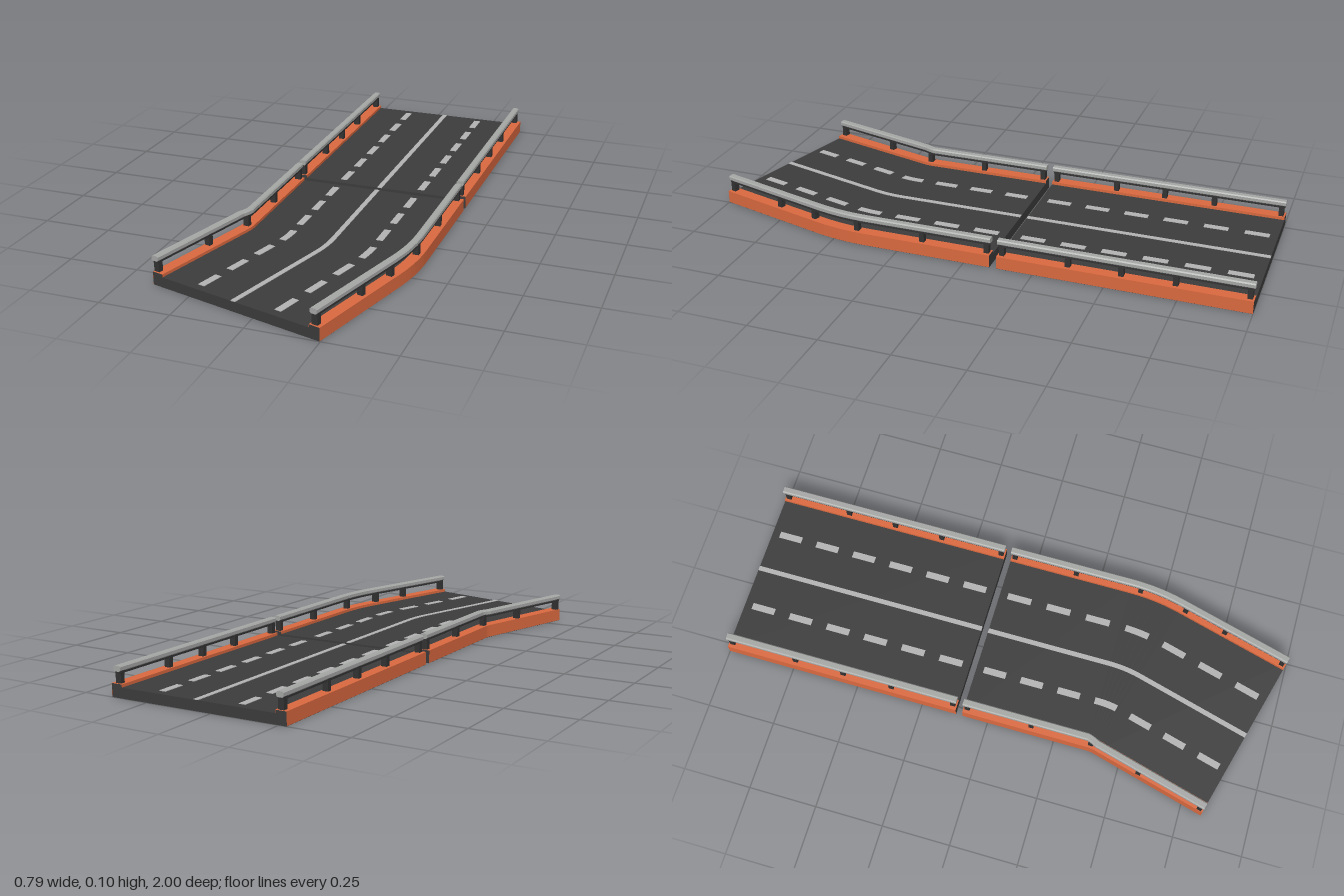
import * as THREE from 'three';

const CENTRE_X = 0.055, RADIUS = 0.465, HALF = 0.333, CURB_IN = 0.293, RAIL = 0.311;

const mat = (color, extra = {}) => new THREE.MeshStandardMaterial({ color, flatShading: true, ...extra });
const asphalt = mat(0x3c3c3c);
const darkMetal = mat(0x333333);
const orange = mat(0xdc6a40, { side: THREE.DoubleSide });
const railGrey = mat(0xa6a8a6);
const paint = mat(0xb4b4b4);

// road sections: a straight run, then an optional bend and straight tail
const straight = { z0: -1, run: 0.88, bend: 0, tail: 0,
  posts: { '-1': [0.015, 0.26, 0.445, 0.63, 0.865], 1: [0.015, 0.26, 0.445, 0.63, 0.865] }, dashes: 6 };
const curved = { z0: -0.095, run: 0.465, bend: Math.PI / 12, tail: 0.438,
  posts: { '-1': [0.015, 0.255, 0.48, 0.68, 0.928], 1: [0.015, 0.255, 0.505, 0.69, 0.855, 1.091] }, dashes: 7 };

const arcLength = (sec, o) => sec.bend * (RADIUS + o);
const lengthAt = (sec, o) => sec.run + arcLength(sec, o) + sec.tail;

// point and heading at distance s along a lane at lateral offset o
function at(sec, s, o, drift = 0) {
  const arc = arcLength(sec, o);
  const run = Math.min(s, sec.run);
  const a = arc ? THREE.MathUtils.clamp((s - sec.run) / arc, 0, 1) * sec.bend : 0;
  const tail = Math.max(0, s - sec.run - arc);
  const r = RADIUS + o + (sec.bend ? drift * a / sec.bend : 0);
  return {
    a,
    x: CENTRE_X - RADIUS + r * Math.cos(a) - tail * Math.sin(a),
    z: sec.z0 + run + r * Math.sin(a) + tail * Math.cos(a),
  };
}

// sweep a counter-clockwise profile of [lateral, y] along the lane
function sweep(sec, o, s0, s1, profile, { closed = true, drift = 0 } = {}) {
  const stops = [s0, s1];
  if (sec.bend) {
    for (let i = 0; i <= 6; i++) {
      const s = sec.run + arcLength(sec, o) * i / 6;
      if (s > s0 + 1e-4 && s < s1 - 1e-4) stops.push(s);
    }
  }
  stops.sort((p, q) => p - q);
  const pos = [], index = [], n = profile.length;
  for (const s of stops) {
    const p = at(sec, s, o, drift);
    for (const [w, y] of profile) pos.push(p.x + w * Math.cos(p.a), y, p.z + w * Math.sin(p.a));
  }
  for (let j = 0; j < stops.length - 1; j++) {
    for (let i = 0; i < (closed ? n : n - 1); i++) {
      const a = j * n + i, b = j * n + (i + 1) % n;
      index.push(a, b, a + n, b, b + n, a + n);
    }
  }
  if (closed) {
    const e = (stops.length - 1) * n;
    for (let i = 1; i < n - 1; i++) index.push(0, i + 1, i, e, e + i, e + i + 1);
  }
  const g = new THREE.BufferGeometry();
  g.setAttribute('position', new THREE.Float32BufferAttribute(pos, 3));
  g.setIndex(index);
  const flat = g.toNonIndexed();
  flat.computeVertexNormals();
  return flat;
}

const rect = (w0, w1, y0, y1) => [[w0, y0], [w1, y0], [w1, y1], [w0, y1]];
const mirror = (profile, side) => (side > 0 ? profile : profile.map(([w, y]) => [-w, y]).reverse());

function add(parent, name, geometry, material) {
  const mesh = new THREE.Mesh(geometry, material);
  mesh.name = name;
  parent.add(mesh);
  return mesh;
}

function buildSection(sec, name) {
  const group = new THREE.Group();
  group.name = name;
  const full = lengthAt(sec, 0);
  add(group, 'roadDeck', sweep(sec, 0, 0, full, rect(-HALF, HALF, 0, 0.036)), asphalt);

  // lane markings
  add(group, 'centreLine', sweep(sec, 0, 0, full, rect(-0.009, 0.009, 0.035, 0.038)), paint);
  for (const o of [-0.153, 0.153]) {
    const step = lengthAt(sec, o) / sec.dashes;
    for (let i = 0; i < sec.dashes; i++) {
      add(group, 'laneDash', sweep(sec, o, (i + 0.2) * step, (i + 0.8) * step, rect(-0.0125, 0.0125, 0.035, 0.038)), paint);
    }
  }

  for (const side of [-1, 1]) {
    const label = side > 0 ? 'left' : 'right';
    // curb: dark core with orange facing on its inner, top and outer sides
    add(group, label + 'CurbCore', sweep(sec, 0, 0, full, mirror(rect(CURB_IN + 0.001, HALF, 0.034, 0.0455), side)), asphalt);
    const skin = [[HALF + 0.001, 0.001], [HALF + 0.001, 0.0465], [CURB_IN, 0.0465], [CURB_IN, 0.036]];
    add(group, label + 'CurbFacing', sweep(sec, 0, 0, full, mirror(skin, side), { closed: false }), orange);

    // guard rail with chamfered top, under-beam and posts
    const o = side * RAIL;
    const drift = side < 0 ? -0.011 : 0;
    const len = lengthAt(sec, o);
    const railProfile = [[-0.009, 0.086], [0.009, 0.086], [0.013, 0.09], [0.013, 0.101],
      [0.009, 0.105], [-0.009, 0.105], [-0.013, 0.101], [-0.013, 0.09]];
    add(group, label + 'GuardRail', sweep(sec, o, 0, len, railProfile, { drift }), railGrey);
    add(group, label + 'RailBeam', sweep(sec, o, 0.003, len - 0.003, rect(-0.009, 0.009, 0.079, 0.087), { drift }), darkMetal);
    for (const s of sec.posts[side]) {
      const p = at(sec, s, o, drift);
      const post = add(group, label + 'RailPost', new THREE.BoxGeometry(0.021, 0.05, 0.018), darkMetal);
      post.position.set(p.x, 0.063, p.z);
      post.rotation.y = -p.a;
    }
  }
  return group;
}

export function createModel() {
  const model = new THREE.Group();
  model.name = 'roadBridge';
  model.add(buildSection(straight, 'straightSection'), buildSection(curved, 'curvedSection'));
  return model;
}
